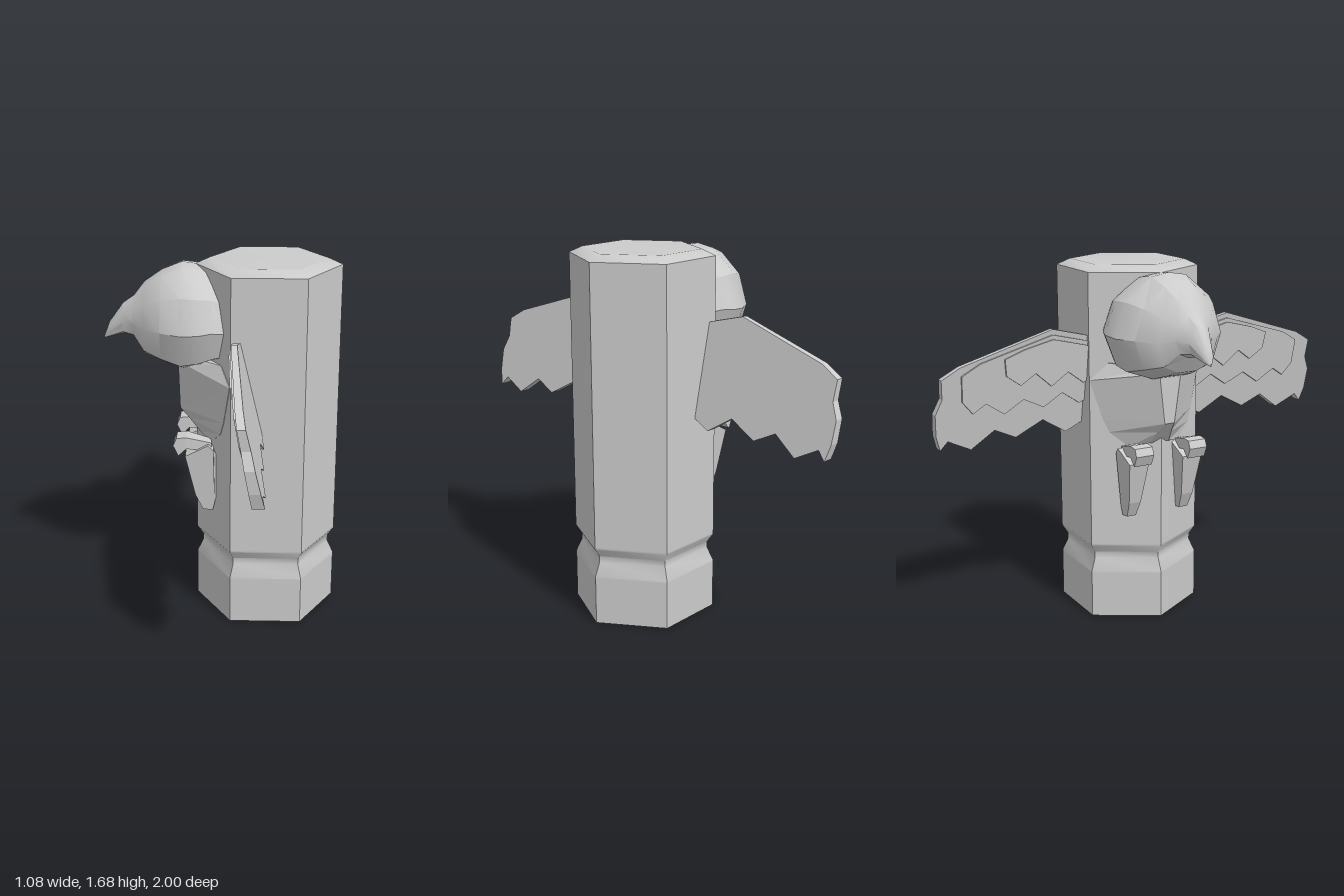
import * as THREE from 'three';
import { toCreasedNormals } from 'three/addons/utils/BufferGeometryUtils.js';

const smooth = new THREE.MeshStandardMaterial({ color: 0xcccccc });
const faceted = new THREE.MeshStandardMaterial({ color: 0xcccccc, flatShading: true });
const v2 = (list) => list.map(([x, y]) => new THREE.Vector2(x, y));

function part(name, geometry, material = faceted) {
  const mesh = new THREE.Mesh(geometry, material);
  mesh.name = name;
  return mesh;
}

// Move every vertex by a rule
function reshape(geometry, rule) {
  const p = geometry.attributes.position;
  for (let i = 0; i < p.count; i++) p.setXYZ(i, ...rule(p.getX(i), p.getY(i), p.getZ(i)));
  geometry.computeVertexNormals();
  return geometry;
}

// Skin closed loops of points, with both ends capped
function loft(loops) {
  const n = loops[0].length, index = [];
  loops.slice(1).forEach((_, s) => {
    for (let i = 0; i < n; i++) {
      const a = s * n + i, b = s * n + (i + 1) % n;
      index.push(a, b, b + n, a, b + n, a + n);
    }
  });
  const last = (loops.length - 1) * n;
  for (let i = 1; i < n - 1; i++) index.push(0, i + 1, i, last, last + i, last + i + 1);
  const g = new THREE.BufferGeometry();
  g.setAttribute('position', new THREE.Float32BufferAttribute(loops.flat(2), 3));
  g.setIndex(index);
  g.computeVertexNormals();
  return g;
}

// Hexagonal post with a groove and a chamfered top; close rings keep the flats flat
function post() {
  const profile = [[0, 0], [0.33, 0], [0.33, 0.22], [0.33, 0.23], [0.302, 0.29], [0.302, 0.32],
    [0.33, 0.36], [0.33, 0.37], [0.33, 1.657], [0.268, 1.685], [0.262, 1.685], [0, 1.685]];
  const g = new THREE.LatheGeometry(v2(profile), 6, Math.PI / 6);
  g.translate(0.21, 0, 0);
  return part('post', toCreasedNormals(g, 0.9), smooth);
}

// Head and hooked beak: cross-sections along x, as [x, bottom, top, half width]
function head() {
  const stations = [[-0.54, 1.308, 1.32, 0.004], [-0.515, 1.315, 1.385, 0.028], [-0.45, 1.335, 1.475, 0.055],
    [-0.4, 1.325, 1.51, 0.09], [-0.35, 1.25, 1.575, 0.15], [-0.27, 1.22, 1.63, 0.22],
    [-0.18, 1.192, 1.665, 0.265], [-0.1, 1.21, 1.655, 0.278], [-0.04, 1.23, 1.64, 0.257], [0.03, 1.24, 1.6, 0.222]];
  const half = [[0.33, 0.97], [0.8, 0.75], [1, 0.42], [0.8, 0.1], [0.3, 0]];
  const ring = [[0, 1], ...half, ...half.map(([w, h]) => [-w, h]).reverse()];
  const loops = stations.map(([x, lo, hi, w]) => ring.map(([a, b]) => [x, lo + (hi - lo) * b, w * a]));
  return part('head', toCreasedNormals(loft(loops), 0.5), smooth);
}

// Breast: tapering wedge, as [front x, front y, front half width, rear x, rear y, rear half width]
function breast() {
  const rows = [[-0.1, 0.87, 0.05, -0.045, 0.85, 0.13], [-0.15, 0.93, 0.035, -0.002, 0.92, 0.21],
    [-0.195, 0.98, 0.025, 0.012, 0.98, 0.235], [-0.2, 1.215, 0.055, 0.04, 1.165, 0.288],
    [-0.18, 1.24, 0.05, 0, 1.245, 0.212]];
  return part('breast', loft(rows.map(([fx, fy, fw, rx, ry, rw]) =>
    [[fx, fy, -fw], [fx, fy, fw], [rx, ry, rw], [0.12, ry, 0.1], [0.12, ry, -0.1], [rx, ry, -rw]])));
}

// Wing: one slanted blade and two shorter rows of feathers on its front
const upperEdge = [[0.22, 1.345], [0.3, 1.375], [0.46, 1.415]];
const featherRows = [
  { name: 'flightFeathers', front: 1, drop: 0, edge: [[0.89, 1.28], [0.975, 1.23], [0.97, 1.14], [1, 1.07],
    [0.995, 0.97], [0.975, 0.9], [0.94, 0.94], [0.83, 0.885], [0.72, 0.965], [0.615, 0.915],
    [0.485, 0.985], [0.365, 0.91], [0.22, 0.985]] },
  { name: 'middleFeathers', front: 1.3, drop: 0.025, edge: [[0.8, 1.29], [0.885, 1.24], [0.88, 1.12], [0.83, 1.06],
    [0.77, 1.1], [0.68, 1.04], [0.59, 1.1], [0.49, 1.05], [0.4, 1.11], [0.31, 1.05], [0.22, 1.09]] },
  { name: 'shortFeathers', front: 1.6, drop: 0.045, edge: [[0.6, 1.335], [0.69, 1.3], [0.68, 1.22], [0.61, 1.17],
    [0.54, 1.22], [0.46, 1.15], [0.38, 1.21], [0.3, 1.15], [0.22, 1.2]] },
];

function wing(side) {
  const group = new THREE.Group();
  group.name = side > 0 ? 'frontWing' : 'backWing';
  for (const { name, front, drop, edge } of featherRows) {
    const outline = [...upperEdge.map(([z, y]) => [z, y - drop]), ...edge];
    const shape = new THREE.Shape(v2(outline.map(([z, y]) => [side * z, y])));
    const g = new THREE.ExtrudeGeometry(shape, { depth: front, bevelEnabled: false });
    group.add(part(name, reshape(g, (z, y, d) => {
      const fall = 1.41 - y;
      return [0.078 + 0.235 * fall - d * (0.027 + 0.05 * fall), y, z];
    })));
  }
  return group;
}

// Leg: knuckled foot above a tapering claw and a narrower heel resting against the post
function leg(side) {
  const group = new THREE.Group();
  group.name = side > 0 ? 'frontLeg' : 'backLeg';
  const slab = (name, outline, width) => {
    const g = new THREE.ExtrudeGeometry(new THREE.Shape(v2(outline)), { depth: 1, bevelEnabled: false });
    group.add(part(name, reshape(g, (x, y, d) => [x, y, side * 0.14 + (d - 0.5) * width(x, y)])));
  };
  slab('foot', [[-0.22, 0.85], [-0.205, 0.885], [-0.16, 0.89], [-0.12, 0.88], [-0.045, 0.86], [-0.045, 0.82],
    [-0.16, 0.835], [-0.175, 0.82], [-0.197, 0.8]], (x) => (x < -0.12 ? 0.09 : 0.06));
  slab('claw', [[-0.165, 0.8], [-0.06, 0.855], [-0.035, 0.83], [-0.03, 0.56], [-0.04, 0.52],
    [-0.085, 0.525], [-0.12, 0.6]], (x, y) => 0.045 + 0.2 * (y - 0.52));
  slab('heel', [[-0.05, 0.85], [-0.01, 0.78], [-0.005, 0.63], [-0.03, 0.57], [-0.05, 0.58]], () => 0.05);
  return group;
}

export function createModel() {
  const model = new THREE.Group();
  model.name = 'birdPost';
  model.add(post(), head(), breast());
  for (const side of [1, -1]) model.add(wing(side), leg(side));
  return model;
}
